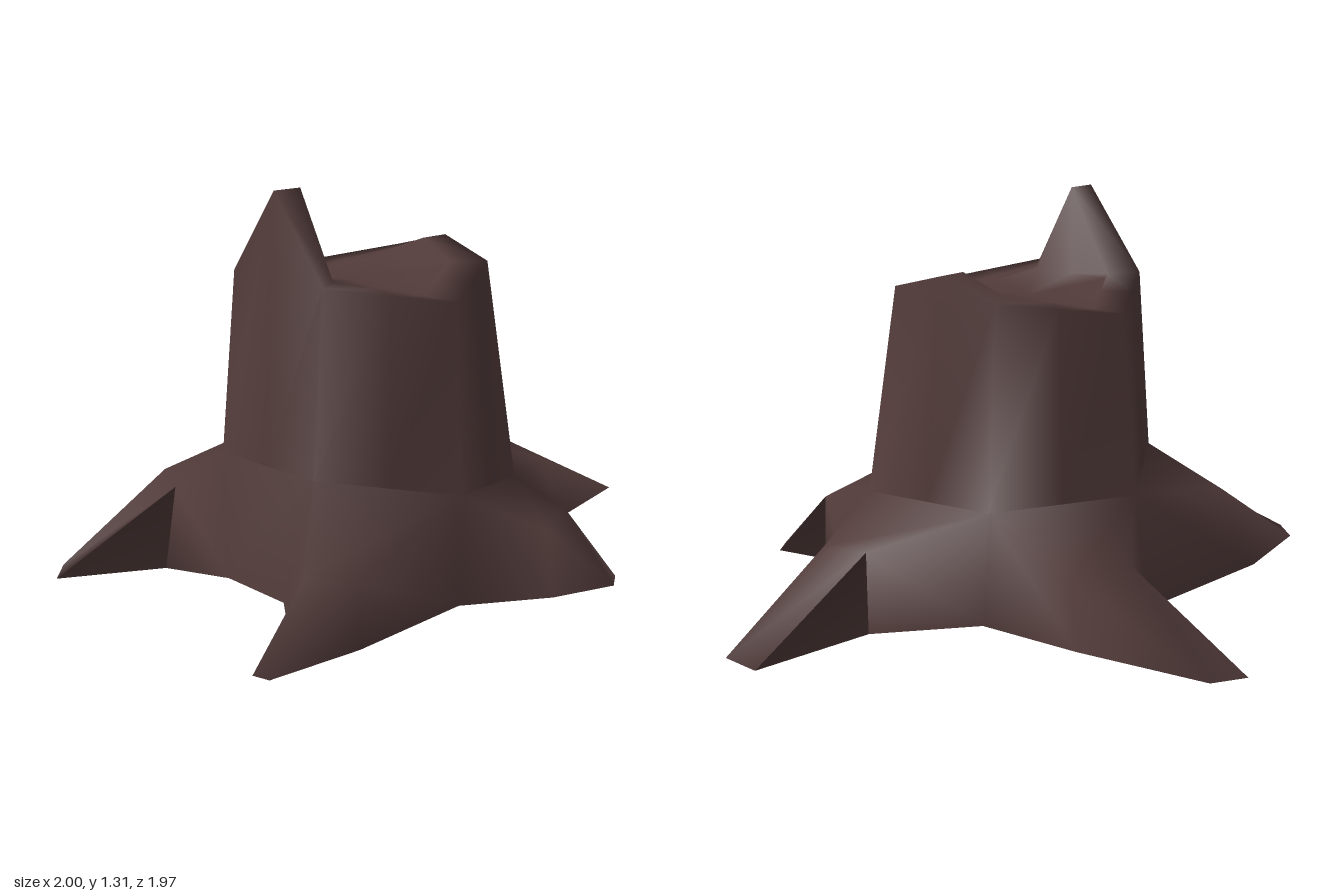
import * as THREE from 'three';
import { mergeVertices } from 'three/addons/utils/BufferGeometryUtils.js';

const V = (x, y, z) => new THREE.Vector3(x, y, z);

// Triangles between two rows of points, the second row lying above or further in
function loft(out, low, high, closed = false) {
  const n = low.length;
  for (let i = 0; i < (closed ? n : n - 1); i++) {
    const j = (i + 1) % n;
    out.push(low[j], low[i], high[i], low[j], high[i], high[j]);
  }
}

// Puts a point halfway along each side of a closed ring
function withMidpoints(ring) {
  return ring.flatMap((p, i) => [p, p.clone().lerp(ring[(i + 1) % ring.length], 0.5)]);
}

// Copies a ring closer to the middle and lower down
function inset(ring, scale, drop) {
  return ring.map((p) => V(p.x * scale, p.y - drop, p.z * scale));
}

export function createModel() {
  const group = new THREE.Group();
  group.name = 'treeStump';
  const bark = new THREE.MeshStandardMaterial({ color: 0x503a39, side: THREE.DoubleSide });
  bark.name = 'dark brown bark';

  // Six-sided trunk: upper corners, and the corners where the roots begin
  const top = [V(-0.4, 1.03, 0.08), V(-0.26, 0.97, -0.32), V(0.16, 1.03, -0.4),
    V(0.44, 1.03, -0.06), V(0.31, 0.97, 0.32), V(-0.11, 1.03, 0.4)];
  const flare = [V(-0.45, 0.41, 0.1), V(-0.3, 0.38, -0.36), V(0.18, 0.36, -0.41),
    V(0.54, 0.3, 0.04), V(0.33, 0.35, 0.37), V(-0.14, 0.44, 0.48)];
  const valley = [V(-0.43, 0.01, 0.23), V(-0.34, 0, -0.4), V(0.21, 0.01, -0.48),
    V(0.63, 0, -0.01), V(0.32, 0.01, 0.46), V(-0.24, 0.01, 0.43)];

  // Broken top: rim, inner edge and shallow middle, with a tall and a low splinter
  const rim = withMidpoints(top);
  const inner = inset(rim, 0.71, 0);
  const middle = inset(rim, 0.69, 0.015);
  rim[11].set(-0.26, 1.31, 0.25);
  inner[11].set(-0.18, 1.31, 0.18);
  rim[5].set(0.31, 1.09, -0.24);
  inner[5].set(0.23, 1.09, -0.17);

  const shell = [];
  loft(shell, withMidpoints(flare), rim, true);
  loft(shell, [valley[5], valley[0]], [flare[5], flare[0]]);
  loft(shell, rim, inner, true);
  loft(shell, inner, middle, true);
  middle.forEach((p, i) => shell.push(middle[(i + 1) % 12], p, V(0, 0.975, 0)));

  // Roots, one on each side but one: ground and ridge points, then the tip
  const roots = [
    { ground: [[-0.65, 0.14], [-0.79, -0.1]], ridge: [V(-0.62, 0.27, 0.05), V(-0.67, 0.29, -0.08)],
      tip: [[-1, 0.25], [-1, 0.13]] },
    { ground: [[-0.33, -0.62], [-0.05, -0.71]], ridge: [V(-0.22, 0.27, -0.68), V(-0.02, 0.27, -0.78)],
      tip: [[-0.51, -0.97], [-0.39, -0.99]] },
    { ground: [[0.57, -0.49], [0.74, -0.29]], ridge: [V(0.57, 0.27, -0.46), V(0.7, 0.24, -0.31)],
      tip: [[0.91, -0.72], [1, -0.62]] },
    { ground: [[0.7, 0.17], [0.63, 0.4]], ridge: [V(0.69, 0.24, 0.18), V(0.61, 0.22, 0.35)],
      tip: [[0.86, 0.25], [0.84, 0.33]] },
    { ground: [[0, 0.77], [-0.21, 0.72]], ridge: [V(-0.01, 0.22, 0.75), V(-0.16, 0.22, 0.7)],
      tip: [[-0.26, 0.98], [-0.31, 0.95]] },
  ];
  roots.forEach(({ ground, ridge, tip }, i) => {
    const [gl, gr] = ground.map(([x, z]) => V(x, 0.01, z));
    const [tl, tr] = tip.map(([x, z]) => V(x, 0.02, z));
    const section = [gl, ...ridge, gr];
    shell.push(gl, tl, ridge[0], tr, gr, ridge[1]);
    loft(shell, [tl, tr], ridge);
    loft(shell, section, [valley[i], flare[i], flare[i + 1], valley[i + 1]]);
  });

  // One smooth skin, open underneath
  const geometry = mergeVertices(new THREE.BufferGeometry().setFromPoints(shell));
  geometry.computeVertexNormals();
  const stump = new THREE.Mesh(geometry, bark);
  stump.name = 'trunkAndRoots';
  group.add(stump);

  return group;
}
